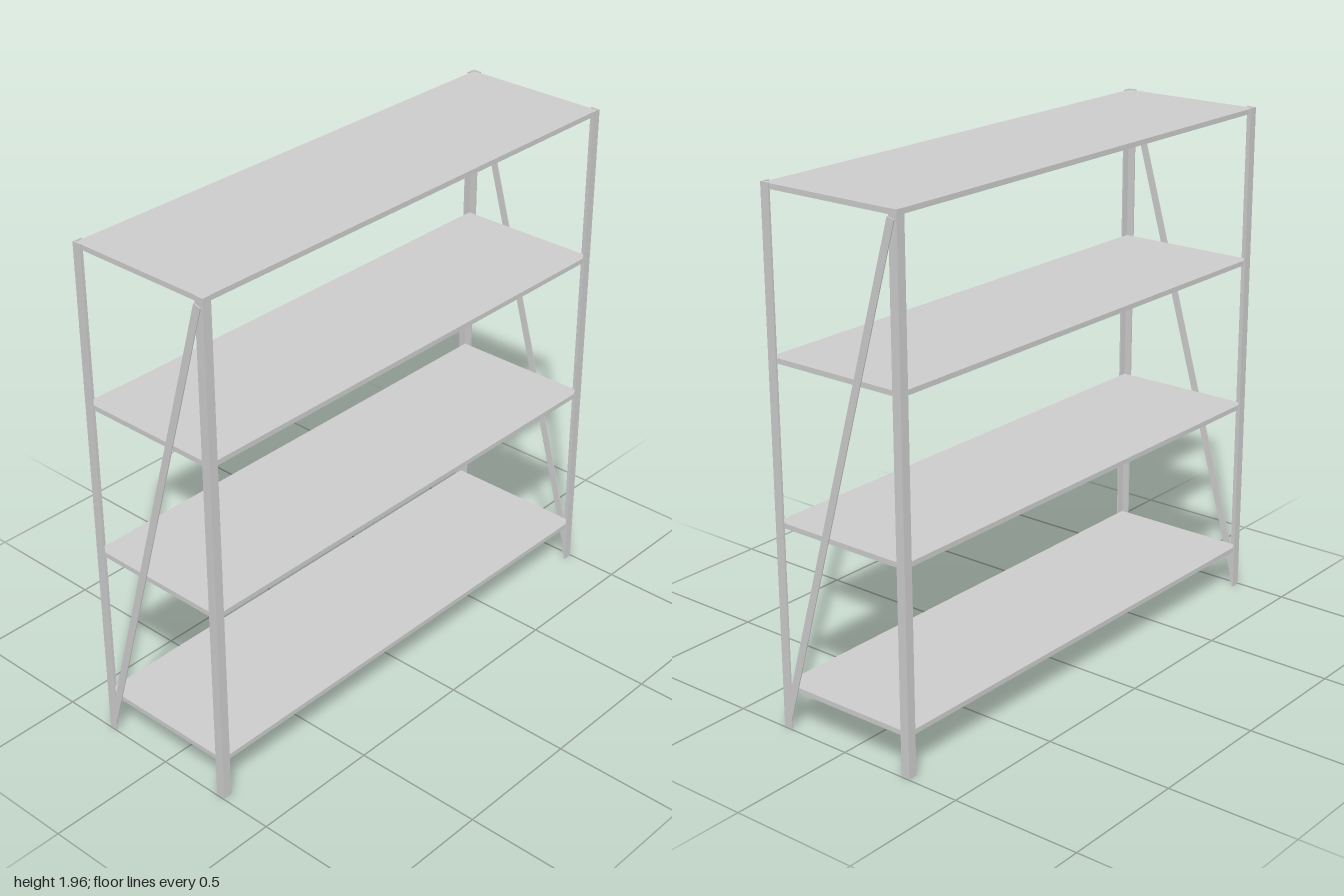
import * as THREE from 'three';

const HEIGHT = 1.955;
const POST_X = 0.996, POST_Z = 0.293; // outer faces of the posts
const FLANGE = 0.035, STEEL = 0.006;  // angle-iron leg width and thickness
const SHELF_TOPS = [0.17, 0.78, 1.367, 1.952];
const SHELF_T = 0.019;
const BRACE_T = 0.004, BRACE_W = 0.03;

export function createModel() {
  const shelving = new THREE.Group();
  shelving.name = 'shelvingUnit';
  const material = new THREE.MeshStandardMaterial({ color: 0xcccccc });

  const add = (name, geometry) => {
    const mesh = new THREE.Mesh(geometry, material);
    mesh.name = name;
    shelving.add(mesh);
    return mesh;
  };

  // L-shaped corner posts, with the corner of the L facing outwards
  const angleIron = (sx, sz) => {
    const outline = [
      [0, 0], [FLANGE, 0], [FLANGE, STEEL],
      [STEEL, STEEL], [STEEL, FLANGE], [0, FLANGE],
    ].map(([u, v]) => new THREE.Vector2(sx * (POST_X - u), -sz * (POST_Z - v)));
    return new THREE.ExtrudeGeometry(new THREE.Shape(outline), { depth: HEIGHT, bevelEnabled: false })
      .rotateX(-Math.PI / 2);
  };
  for (const sx of [-1, 1]) {
    for (const sz of [-1, 1]) {
      add(`${sz > 0 ? 'front' : 'back'}${sx > 0 ? 'Left' : 'Right'}Post`, angleIron(sx, sz));
    }
  }

  // Shelf boards fitted inside the posts
  SHELF_TOPS.forEach((top, i) => {
    const shelf = add(`shelf${i + 1}`, new THREE.BoxGeometry(
      2 * (POST_X - STEEL), SHELF_T, 2 * (POST_Z - STEEL)));
    shelf.position.y = top - SHELF_T / 2;
  });

  // One flat diagonal brace on the outside of each end, leaning opposite ways
  const halfZ = 0.27, halfY = 0.945;
  for (const sx of [-1, 1]) {
    const brace = add(sx > 0 ? 'leftBrace' : 'rightBrace',
      new THREE.BoxGeometry(BRACE_T, 2 * Math.hypot(halfZ, halfY), BRACE_W));
    brace.position.set(sx * (POST_X + BRACE_T / 2), 0.98, 0);
    brace.rotation.x = -sx * Math.atan2(halfZ, halfY);
  }

  return shelving;
}
